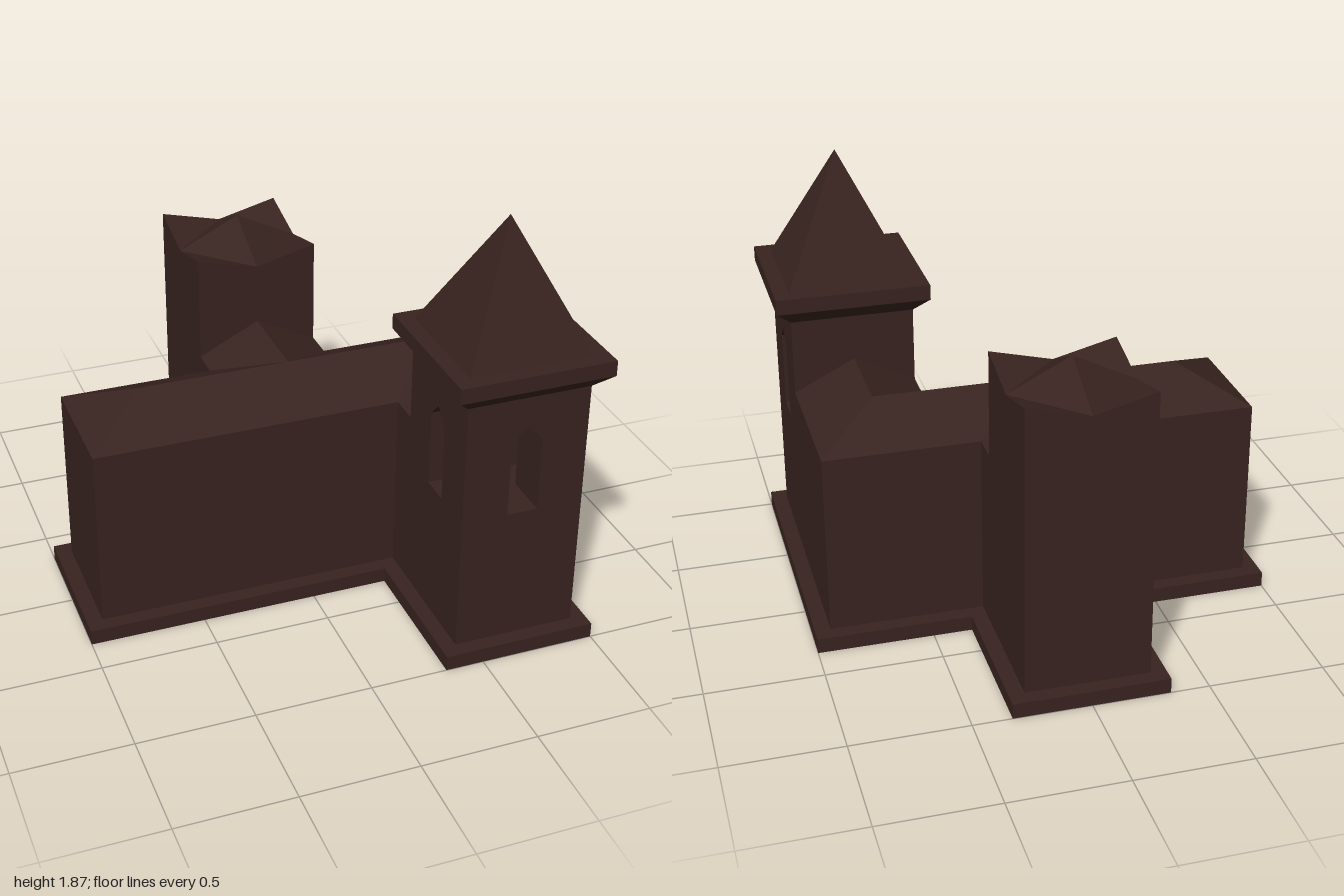
import * as THREE from 'three';

const U = 1 / 15; // one grid step of the building
const material = new THREE.MeshStandardMaterial({
  color: 0x38231f, flatShading: true, side: THREE.DoubleSide,
});

function mesh(name, geometry) {
  geometry.scale(U, U, U);
  const m = new THREE.Mesh(geometry, material);
  m.name = name;
  return m;
}

// Flat-sided surface from polygons, each fanned from its first corner
function faces(name, polygons, dx = 0, dz = 0) {
  const pos = [];
  for (const p of polygons)
    for (let i = 1; i < p.length - 1; i++)
      for (const [x, y, z] of [p[0], p[i], p[i + 1]]) pos.push(x + dx, y, z + dz);
  const g = new THREE.BufferGeometry();
  g.setAttribute('position', new THREE.Float32BufferAttribute(pos, 3));
  g.computeVertexNormals();
  return mesh(name, g);
}

// Quads between two matching outlines of [x, z] points at two heights
function loft(a, ya, b, yb, closed = true) {
  const quads = [];
  for (let i = 0; i < a.length - (closed ? 0 : 1); i++) {
    const j = (i + 1) % a.length;
    quads.push([[a[i][0], ya, a[i][1]], [a[j][0], ya, a[j][1]],
      [b[j][0], yb, b[j][1]], [b[i][0], yb, b[i][1]]]);
  }
  return quads;
}

const square = (r) => [[-r, r], [r, r], [r, -r], [-r, -r]];

// Plinth: open-bottomed band with a flat ledge
function plinth() {
  const outer = [[-15, 5], [5, 5], [5, 15], [15, 15], [15, -5],
    [5, -5], [5, -15], [-5, -15], [-5, -5], [-15, -5]];
  const inner = [[-14, 4], [6, 4], [6, 14], [14, 14], [14, -4],
    [4, -4], [4, -14], [-4, -14], [-4, -4], [-14, -4]];
  return faces('plinth', [...loft(outer, 0, outer, 1), ...loft(outer, 1, inner, 1)]);
}

// Hall with its rear wing and the corner leading to the front tower
function hall() {
  const g = new THREE.Group();
  g.name = 'hall';
  const west = [[-4, -6], [-4, -4], [-14, -4], [-14, 4], [6, 4], [6, 6]];
  const east = [[14, 6], [14, -4], [4, -4], [4, -6]];
  g.add(faces('hallWalls', [...loft(west, 1, west, 13, false), ...loft(east, 1, east, 13, false)]));
  const w = [-10, 15, 0], c = [0, 15, 0], e = [10, 15, 0]; // ridge points
  g.add(faces('hallRoof', [
    [[-14, 13, 4], [6, 13, 4], e, w],
    [[-14, 13, -4], [-14, 13, 4], w],
    [w, c, [-4, 13, -4], [-14, 13, -4]],
    [c, e, [14, 13, -4], [4, 13, -4]],
    [c, [0, 15, -6], [-4, 13, -6], [-4, 13, -4]],
    [c, [4, 13, -4], [4, 13, -6], [0, 15, -6]],
    [e, [10, 15, 6], [14, 13, 6], [14, 13, -4]],
    [[6, 13, 4], [6, 13, 6], [10, 15, 6], e],
  ]));
  return g;
}

// Rear tower: raised corners, dipped wall tops and a low pyramid between the dips
function rearTower() {
  const g = new THREE.Group();
  g.name = 'rearTower';
  const c = square(4);
  const at = ([x, z], y) => [x, y, z];
  const mid = (i) => {
    const a = c[i % 4], b = c[(i + 1) % 4];
    return [(a[0] + b[0]) / 2, 19, (a[1] + b[1]) / 2];
  };
  const walls = [], roof = [];
  for (let i = 0; i < 4; i++) {
    const a = c[i], b = c[(i + 1) % 4];
    // the front wall starts on the wing's gable
    const foot = i === 0 ? [at(a, 13), [0, 15, 4], at(b, 13)] : [at(a, 1), at(b, 1)];
    walls.push([mid(i), at(a, 20), ...foot, at(b, 20)]);
    roof.push([mid(i), mid(i + 1), [0, 21, 0]], [mid(i), at(b, 20), mid(i + 1)]);
  }
  g.add(faces('rearTowerWalls', walls, 0, -10), faces('rearTowerRoof', roof, 0, -10));
  return g;
}

// Front tower: three windowed walls, crossing window passages, cornice and spire
function frontTower() {
  const g = new THREE.Group();
  g.name = 'frontTower';
  const points = (list) => list.map(([x, y]) => new THREE.Vector2(x, y));
  for (const [name, turn] of [['front', 0], ['left', 1], ['right', -1]]) {
    const shape = new THREE.Shape(points([[-4, 1], [4, 1], [4, 18], [-4, 18]]));
    shape.holes.push(new THREE.Path(points([[-1, 10], [-1, 15], [0, 16], [1, 15], [1, 10]])));
    const wall = new THREE.ShapeGeometry(shape);
    wall.translate(0, 0, 4).rotateY(turn * Math.PI / 2).translate(10, 0, 10);
    g.add(mesh(name + 'TowerWall', wall));
  }
  g.add(faces('backTowerWall',
    [[[0, 15, -4], [-4, 13, -4], [-4, 18, -4], [4, 18, -4], [4, 13, -4]]], 10, 10));

  // Passage from side to side, joined by one from the front window
  const passage = [
    [[-4, 10, 1], [4, 10, 1], [4, 10, -1], [-4, 10, -1]],
    [[-1, 10, 4], [1, 10, 4], [1, 10, 1], [-1, 10, 1]],
    [[-4, 10, -1], [4, 10, -1], [4, 15, -1], [-4, 15, -1]],
    [[-4, 15, -1], [4, 15, -1], [4, 16, 0], [-4, 16, 0]],
  ];
  const half = [
    [[-4, 10, 1], [-4, 15, 1], [-1, 15, 1], [-1, 10, 1]],
    [[-4, 15, 1], [-4, 16, 0], [0, 16, 0], [-1, 15, 1]],
    [[-1, 10, 1], [-1, 15, 1], [-1, 15, 4], [-1, 10, 4]],
    [[-1, 15, 1], [0, 16, 0], [0, 16, 4], [-1, 15, 4]],
  ];
  const mirrored = half.map((p) => p.map(([x, y, z]) => [-x, y, z]).reverse());
  g.add(faces('windowPassages', [...passage, ...half, ...mirrored], 10, 10));

  const inner = square(4), outer = square(5), tip = square(0);
  g.add(faces('cornice', [
    ...loft(inner, 18, outer, 19), ...loft(outer, 19, outer, 20), ...loft(outer, 20, inner, 20),
  ], 10, 10));
  g.add(faces('spire', loft(inner, 20, tip, 28).map((q) => q.slice(0, 3)), 10, 10));
  return g;
}

export function createModel() {
  const model = new THREE.Group();
  model.name = 'towerHouse';
  model.add(plinth(), hall(), rearTower(), frontTower());
  return model;
}
